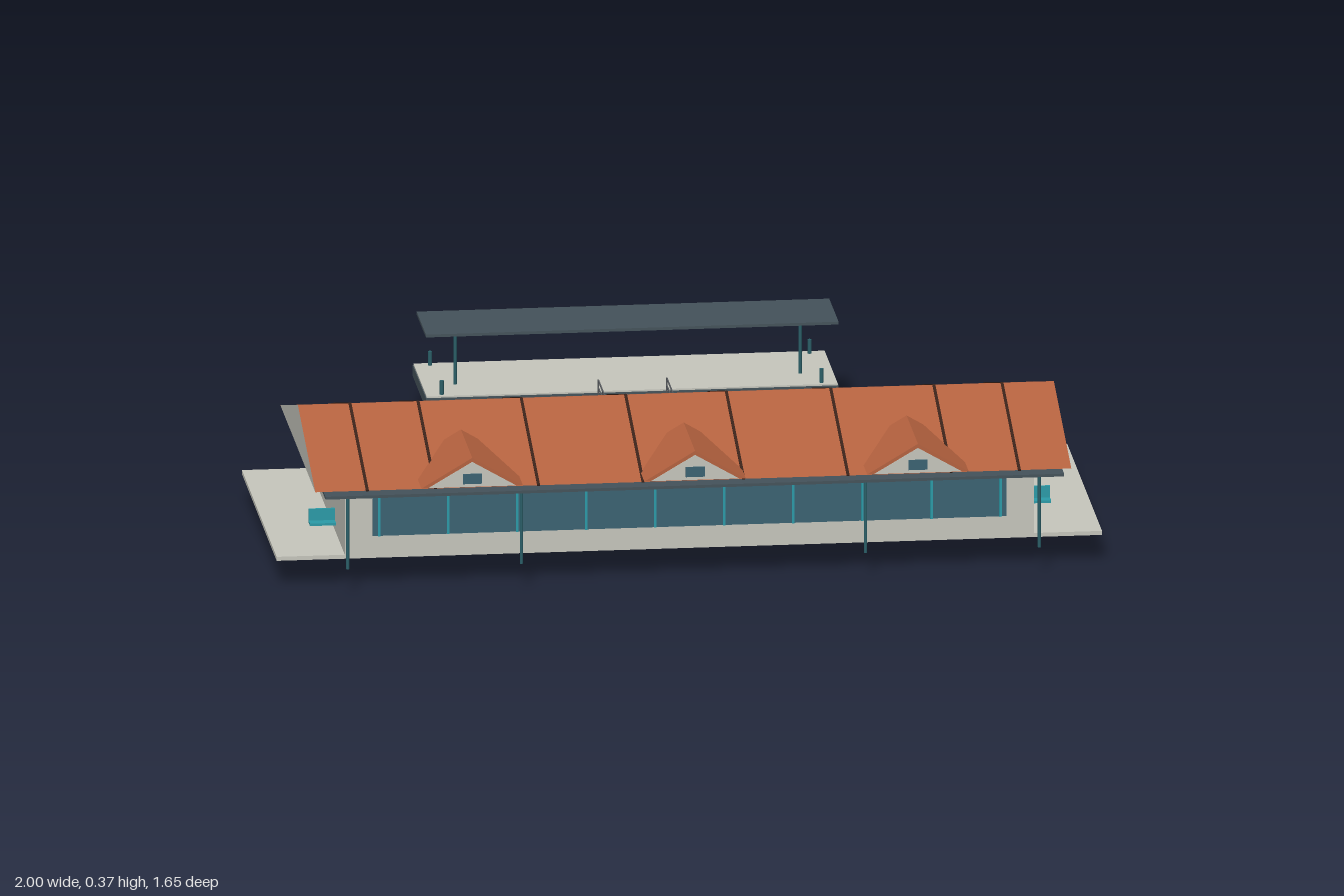
import * as THREE from 'three';

const mat = (color) => new THREE.MeshStandardMaterial({ color, side: THREE.DoubleSide });
const concrete = mat(0xc6c6bc), tile = mat(0xb5623f), seam = mat(0x3a2219), dark = mat(0x44525a);
const glass = mat(0x3a6272), teal = mat(0x2a9ba8), steel = mat(0x2a5f68), rail = mat(0x55585c);

export function createModel() {
  const model = new THREE.Group();
  model.name = 'waterfrontTerminal';

  const add = (name, geometry, material, parent = model) => {
    const mesh = new THREE.Mesh(geometry, material);
    mesh.name = name;
    parent.add(mesh);
    return mesh;
  };
  // Box given by its extents on each axis
  const box = (name, material, [x0, x1], [y0, y1], [z0, z1], parent) => {
    const mesh = add(name, new THREE.BoxGeometry(x1 - x0, y1 - y0, z1 - z0), material, parent);
    mesh.position.set((x0 + x1) / 2, (y0 + y1) / 2, (z0 + z1) / 2);
    return mesh;
  };
  const post = (name, x, z, y0, y1, r, material = steel, parent = model) => {
    const mesh = add(name, new THREE.CylinderGeometry(r, r, y1 - y0, 10), material, parent);
    mesh.position.set(x, (y0 + y1) / 2, z);
    return mesh;
  };
  // Triangular prism along +z: half width, height, length
  const prism = (half, height, length) => {
    const shape = new THREE.Shape([
      new THREE.Vector2(-half, 0), new THREE.Vector2(half, 0), new THREE.Vector2(0, height),
    ]);
    return new THREE.ExtrudeGeometry(shape, { depth: length, bevelEnabled: false });
  };

  // Ground slab and hall
  box('groundSlab', concrete, [-1, 1], [0.066, 0.076], [-0.055, 0.695]);
  box('hallWalls', concrete, [-0.835, 0.835], [0.076, 0.247], [0.115, 0.7]);

  // Glazing with mullions on both long sides
  box('frontGlass', glass, [-0.768, 0.768], [0.123, 0.228], [0.698, 0.703]);
  box('rearGlass', glass, [-0.768, 0.768], [0.123, 0.228], [0.111, 0.117]);
  for (let i = 0; i < 10; i++) {
    const x = -0.753 + i * 0.1673;
    box('frontMullion', teal, [x - 0.003, x + 0.003], [0.123, 0.228], [0.7, 0.707]);
  }
  for (let i = 0; i < 8; i++) {
    const x = -0.753 + i * 0.2151;
    box('rearMullion', concrete, [x - 0.004, x + 0.004], [0.123, 0.228], [0.107, 0.114]);
  }
  box('fasciaBand', teal, [-0.875, 0.875], [0.225, 0.25], [0.7, 0.712]);

  // Main gabled roof, grey gables at both ends
  const eaveY = 0.26, rise = 0.11, half = 0.376, ridgeZ = 0.404, roofX = 0.916;
  const roof = add('mainRoof', prism(half, rise, roofX * 2), [concrete, tile]);
  roof.rotation.y = Math.PI / 2;
  roof.position.set(-roofX, eaveY, ridgeZ);

  // Dark seams running down each slope
  const slopeLength = Math.hypot(half, rise), pitch = Math.atan2(rise, half);
  for (const x of [0.122, 0.375, 0.625, 0.79]) {
    for (const sx of [-1, 1]) for (const sz of [-1, 1]) {
      const strip = add('roofSeam', new THREE.BoxGeometry(0.007, 0.004, slopeLength), seam);
      strip.position.set(sx * x, eaveY + rise / 2, ridgeZ + (sz * half) / 2);
      strip.rotation.x = sz * pitch;
    }
  }

  // Three dormers with grey faces and small windows
  for (const x of [-0.54, 0, 0.54]) {
    const dormer = new THREE.Group();
    dormer.name = 'dormer';
    dormer.position.x = x;
    model.add(dormer);
    add('dormerRoof', prism(0.123, 0.073, 0.246), tile, dormer).position.set(0, 0.272, 0.572);
    add('dormerFace', prism(0.106, 0.062, 0.004), concrete, dormer).position.set(0, 0.273, 0.816);
    box('dormerWindow', glass, [-0.023, 0.023], [0.281, 0.306], [0.816, 0.823], dormer);
  }

  // Entrance canopy
  box('frontCanopy', dark, [-0.895, 0.895], [0.25, 0.257], [0.695, 0.812]);
  for (const x of [-0.838, -0.417, 0.417, 0.838]) post('canopyPost', x, 0.783, 0.066, 0.252, 0.004);

  // Bench at each end wall
  for (const s of [-1, 1]) {
    const bench = new THREE.Group();
    bench.name = 'bench';
    model.add(bench);
    const span = s > 0 ? [0.835, 0.898] : [-0.898, -0.835];
    box('benchSeat', teal, span, [0.095, 0.101], [0.475, 0.506], bench);
    box('benchBack', teal, span, [0.095, 0.13], [0.474, 0.48], bench);
  }

  // Gangway with two-bar railings
  box('gangwayDeck', concrete, [-0.087, 0.087], [0.085, 0.093], [-0.535, -0.033]);
  for (const x of [-0.083, 0.083]) {
    for (const y of [0.115, 0.134]) {
      box('handrail', rail, [x - 0.0015, x + 0.0015], [y - 0.0015, y + 0.0015], [-0.53, -0.033]);
    }
    for (let i = 0; i < 6; i++) post('railPost', x, -0.035 - i * 0.0988, 0.09, 0.135, 0.0018, rail);
  }

  // Floating platform, piles and shelter
  box('platformHull', dark, [-0.5, 0.5], [0.073, 0.1], [-0.825, -0.535]);
  box('platformDeck', concrete, [-0.498, 0.498], [0.1, 0.104], [-0.823, -0.537]);
  for (const x of [-0.46, 0.46]) {
    for (const z of [-0.552, -0.804]) post('pile', x, z, 0, 0.139, 0.005);
  }
  box('shelterRoof', dark, [-0.5, 0.5], [0.252, 0.259], [-0.738, -0.538]);
  for (const x of [-0.418, 0.418]) post('shelterPost', x, -0.636, 0.104, 0.254, 0.004);

  return model;
}
